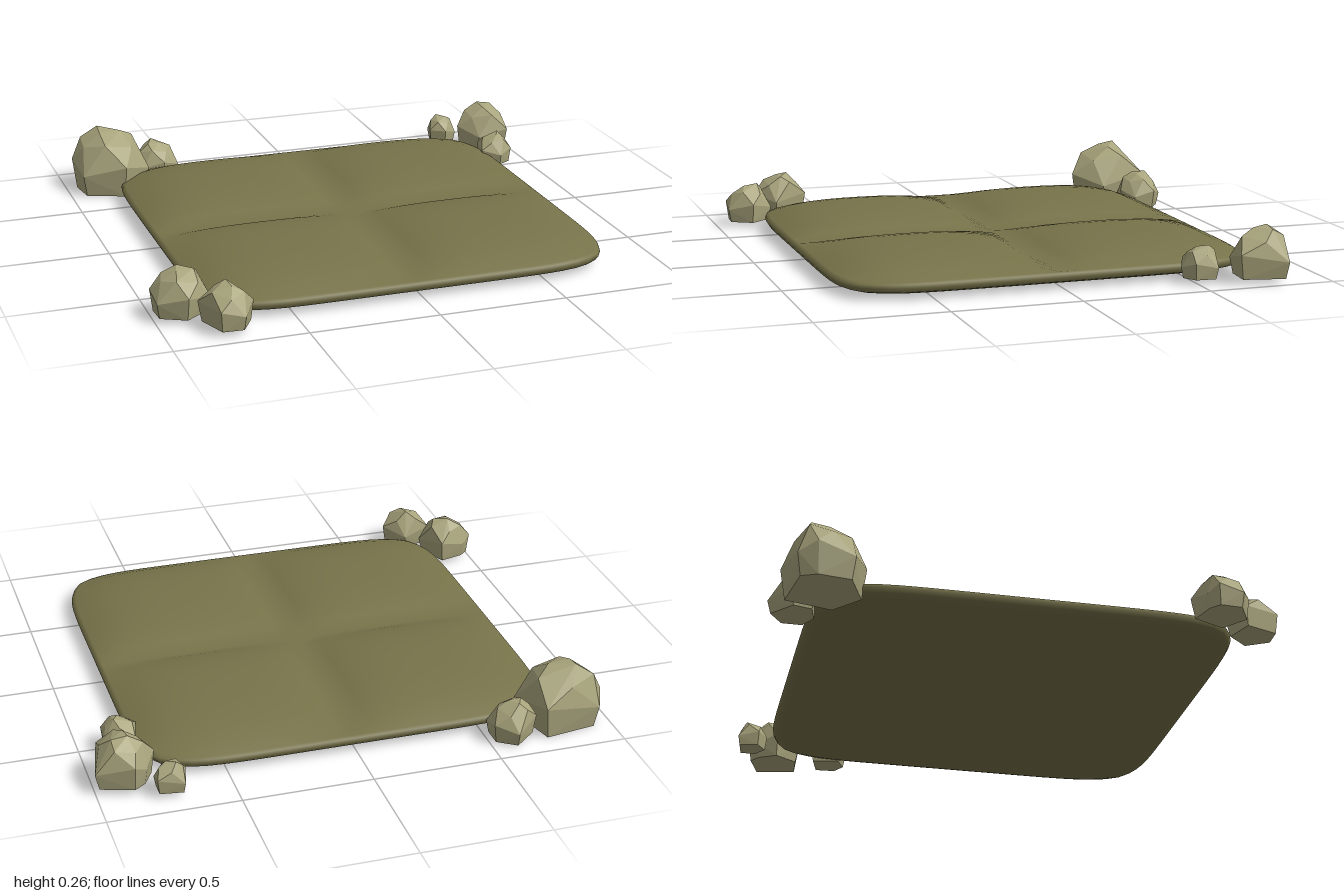
import * as THREE from 'three';
import { mergeVertices } from 'three/addons/utils/BufferGeometryUtils.js';
import { ConvexGeometry } from 'three/addons/geometries/ConvexGeometry.js';

const matFabric = new THREE.MeshStandardMaterial({ color: 0x77734a });
matFabric.name = 'olive fabric';
const matStone = new THREE.MeshStandardMaterial({ color: 0xa9a57d });
matStone.name = 'pale stone';

// Rounded square cushion, quilted into four pads by a cross-shaped seam
function createCushion() {
  const half = 0.818;
  let geo = new THREE.BoxGeometry(2, 2, 2, 24, 4, 24);
  geo.deleteAttribute('normal');
  geo.deleteAttribute('uv');
  geo = mergeVertices(geo);
  const bulge = (t) => 1 - Math.pow(Math.abs(2 * Math.abs(t) - 1), 2.6);
  const rimY = [0.02, 0.03, 0.047, 0.06, 0.068];
  const rimScale = [0.955, 0.988, 1, 0.995, 0.98];
  const p = geo.attributes.position;
  for (let i = 0; i < p.count; i++) {
    const u = p.getX(i), v = p.getZ(i);
    const level = Math.round((p.getY(i) + 1) * 2);
    const s = half * rimScale[level];
    let y = rimY[level];
    if (level === 4) y = 0.066 + 0.058 * Math.pow(Math.max(0, bulge(u) * bulge(v)), 0.85);
    p.setXYZ(i,
      -0.005 + u * s * (1 - 0.087 * Math.pow(Math.abs(v), 7) * u * u),
      y,
      0.017 + v * s * (1 - 0.087 * Math.pow(Math.abs(u), 7) * v * v));
  }
  geo.computeVertexNormals();
  const mesh = new THREE.Mesh(geo, matFabric);
  mesh.name = 'cushion';
  return mesh;
}

// Faceted boulder: a plan outline [x, z] repeated at several heights around a leaning peak
function createRock({ name, outline, base, top, peak }) {
  const n = outline.length;
  const cx = outline.reduce((a, q) => a + q[0], 0) / n;
  const cz = outline.reduce((a, q) => a + q[1], 0) / n;
  const h = top - base;
  const points = [];
  const add = (q, scale, lean, y) => points.push(new THREE.Vector3(
    cx + (q[0] - cx) * scale + (peak[0] - cx) * lean, base + h * y,
    cz + (q[1] - cz) * scale + (peak[1] - cz) * lean));
  outline.forEach((q, i) => {
    const odd = i % 2;
    add(q, 0.88, 0, 0);
    add(q, 1, 0, odd ? 0.34 : 0.5);
    const next = outline[(i + 1) % n];
    const middle = [(q[0] + next[0]) / 2, (q[1] + next[1]) / 2];
    add(middle, 0.8, 0.4, odd ? 0.74 : 0.82);
    if (odd) add(q, 0.32, 0.9, i === 1 ? 1 : 0.95);
  });
  const mesh = new THREE.Mesh(new ConvexGeometry(points), matStone);
  mesh.name = name;
  return mesh;
}

const rocks = [
  { name: 'backRightLargeRock', base: 0, top: 0.26, peak: [-0.82, -0.8],
    outline: [[-0.97, -0.82], [-0.94, -0.89], [-0.71, -0.925], [-0.66, -0.72], [-0.78, -0.615], [-0.95, -0.68]] },
  { name: 'backRightSmallRock', base: 0.008, top: 0.16, peak: [-0.61, -0.86],
    outline: [[-0.69, -0.87], [-0.59, -0.955], [-0.51, -0.9], [-0.51, -0.81], [-0.58, -0.77], [-0.67, -0.79]] },
  { name: 'backLeftLargeRock', base: 0.02, top: 0.21, peak: [0.89, -0.76],
    outline: [[0.765, -0.75], [0.81, -0.83], [0.86, -0.865], [1.0, -0.82], [0.96, -0.64], [0.83, -0.65]] },
  { name: 'backLeftRearRock', base: 0.02, top: 0.135, peak: [0.73, -0.87],
    outline: [[0.67, -0.84], [0.69, -0.925], [0.79, -0.91], [0.79, -0.84], [0.73, -0.8]] },
  { name: 'backLeftSideRock', base: 0.02, top: 0.145, peak: [0.85, -0.53],
    outline: [[0.8, -0.6], [0.915, -0.57], [0.91, -0.48], [0.85, -0.445], [0.775, -0.48]] },
  { name: 'frontRightSideRock', base: 0.02, top: 0.19, peak: [-0.88, 0.69],
    outline: [[-1.0, 0.66], [-0.96, 0.625], [-0.85, 0.595], [-0.79, 0.735], [-0.89, 0.81], [-0.995, 0.755]] },
  { name: 'frontRightFrontRock', base: 0.02, top: 0.175, peak: [-0.765, 0.855],
    outline: [[-0.86, 0.81], [-0.74, 0.77], [-0.665, 0.86], [-0.72, 0.955], [-0.81, 0.95]] },
];

export function createModel() {
  const model = new THREE.Group();
  model.name = 'cushionWithRocks';
  model.add(createCushion());
  rocks.forEach((r) => model.add(createRock(r)));
  return model;
}
